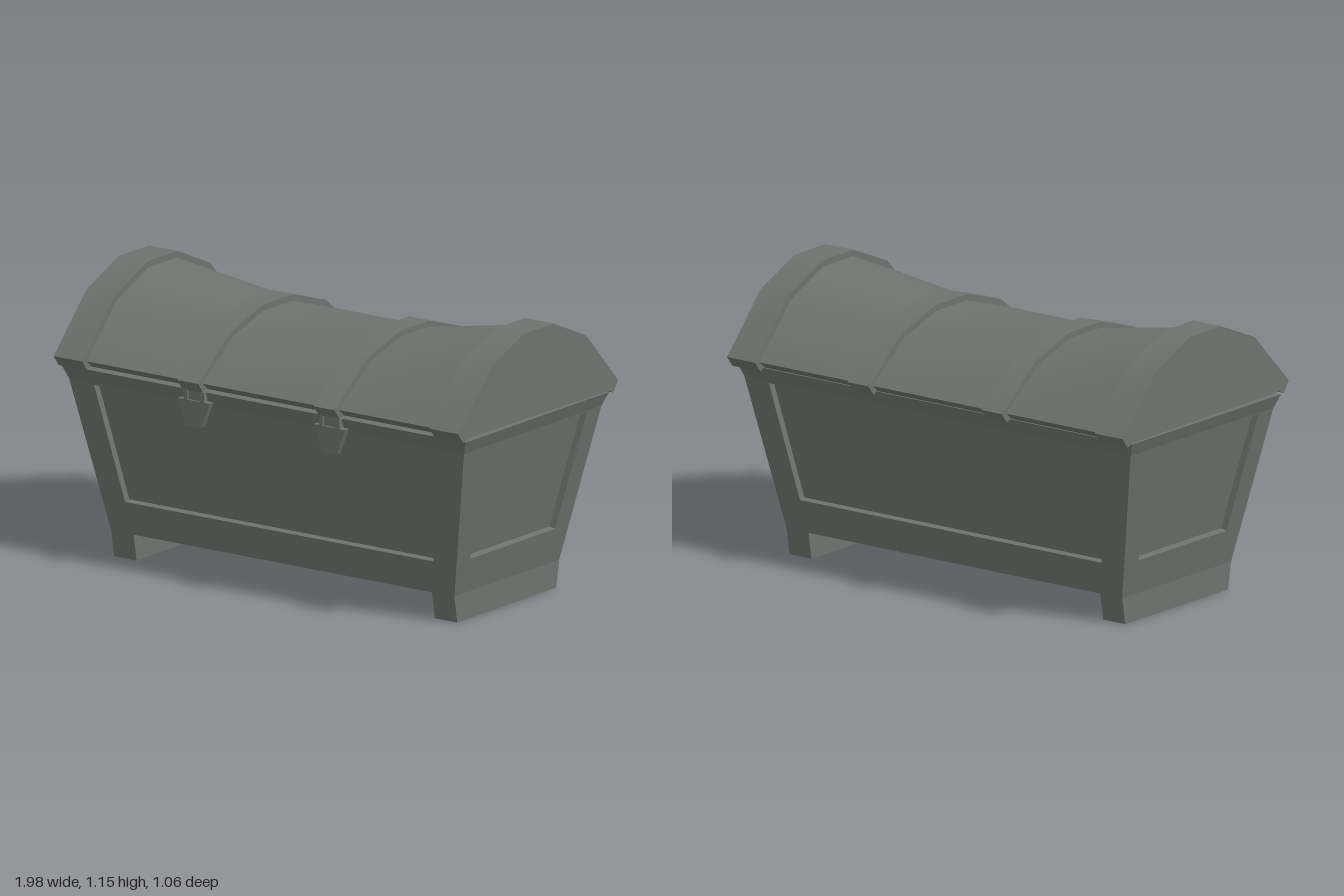
import * as THREE from 'three';
import { mergeGeometries, toCreasedNormals } from 'three/addons/utils/BufferGeometryUtils.js';

// Piecewise linear lookup in [y, value] pairs
function lookup(table, y) {
  let i = 1;
  while (i < table.length - 1 && y > table[i][0]) i++;
  const [y0, v0] = table[i - 1], [y1, v1] = table[i];
  return v0 + (v1 - v0) * (y - y0) / (y1 - y0);
}

// Half width and half depth of the box at height y
const halfX = y => lookup([[0, 0.84], [0.11, 0.84], [0.735, 0.967], [0.79, 0.99]], y);
const halfZ = y => lookup([[0, 0.328], [0.735, 0.455], [0.79, 0.475]], y);
const FOOT = 0.11, RIM = 0.735, TOP = 0.79, INSET = 0.028;

const vectors = points => points.map(([x, y]) => new THREE.Vector2(x, y));

function quads(list) {
  const p = [];
  for (const [a, b, c, d] of list) p.push(...a, ...b, ...c, ...a, ...c, ...d);
  const g = new THREE.BufferGeometry();
  g.setAttribute('position', new THREE.Float32BufferAttribute(p, 3));
  return g;
}

// Flat outline (with optional hole) leaned onto the depth rule
function leaned(outline, hole, place) {
  const shape = new THREE.Shape(vectors(outline));
  if (hole) shape.holes.push(new THREE.Path(vectors(hole)));
  const g = new THREE.ShapeGeometry(shape).toNonIndexed();
  g.deleteAttribute('uv');
  g.deleteAttribute('normal');
  const pos = g.attributes.position;
  for (let i = 0; i < pos.count; i++) pos.setXYZ(i, ...place(pos.getX(i), pos.getY(i)));
  return g;
}

// One wall: frame, recessed panel, ledges around it and flared rim
function wall(outline, panel, half, depth, angle) {
  const slope = (depth(0.7) - depth(0.2)) / 0.5;
  const outer = (u, y) => [u, y, depth(y)];
  const inner = (u, y) => [u, y + slope * INSET, depth(y) - INSET];
  const ledges = panel.map((a, i) => {
    const b = panel[(i + 1) % panel.length];
    return [outer(...a), outer(...b), inner(...b), inner(...a)];
  });
  const rim = [[-half(RIM), RIM], [half(RIM), RIM], [half(TOP), TOP], [-half(TOP), TOP]];
  return mergeGeometries([
    leaned(outline, panel, outer), leaned(panel, null, inner), quads(ledges), leaned(rim, null, outer),
  ]).rotateY(angle);
}

// Faces running front to back along an x, y line
function span(line) {
  return quads(line.slice(1).map((b, i) => {
    const a = line[i], za = halfZ(a[1]), zb = halfZ(b[1]);
    return [[...a, -za], [...b, -zb], [...b, zb], [...a, za]];
  }));
}

function buildBox() {
  const longOutline = [
    [-0.84, 0], [-0.73, 0], [-0.73, FOOT], [0.73, FOOT], [0.73, 0], [0.84, 0],
    [0.84, FOOT], [halfX(RIM), RIM], [-halfX(RIM), RIM], [-0.84, FOOT],
  ];
  const longPanel = [[-0.755, 0.245], [0.755, 0.245], [0.845, 0.725], [-0.845, 0.725]];
  const endOutline = [
    [-halfZ(FOOT), FOOT], [halfZ(FOOT), FOOT], [halfZ(RIM), RIM], [-halfZ(RIM), RIM],
  ];
  const endPanel = [[-0.28, 0.255], [0.28, 0.255], [0.362, 0.73], [-0.362, 0.73]];
  const parts = [];
  for (const turn of [0, Math.PI]) {
    parts.push(wall(longOutline, longPanel, halfX, halfZ, turn));
    parts.push(wall(endOutline, endPanel, halfZ, halfX, turn + Math.PI / 2));
  }
  // Feet, underside and closed top
  parts.push(span([
    [-0.84, FOOT], [-0.84, 0], [-0.73, 0], [-0.73, FOOT], [0.73, FOOT], [0.73, 0], [0.84, 0], [0.84, FOOT],
  ]));
  parts.push(span([[0.99, TOP], [-0.99, TOP]]));
  const g = mergeGeometries(parts);
  g.computeVertexNormals();
  return g;
}

// Closed arch section of the lid; z across, y up
function archShape(halfDepth, base, rise, lip) {
  const k = halfDepth / 0.53;
  const side = [[0.47, 0.8], [0.497, lip], [0.53, base], [0.315, base + rise * 0.71], [0.1, base + rise]];
  const right = side.map(([z, y]) => [z * k, y]);
  return new THREE.Shape(vectors([...right, ...right.map(([z, y]) => [-z, y]).reverse()]));
}

function band(x0, x1, rise) {
  const g = new THREE.ExtrudeGeometry(archShape(0.53, 0.83, rise, 0.787), { depth: x1 - x0, bevelEnabled: false });
  return toCreasedNormals(g.rotateY(Math.PI / 2).translate(x0, 0, 0), 0.55);
}

// Lid skin: level in the middle, rising towards both ends
function skin() {
  const g = new THREE.ExtrudeGeometry(archShape(0.5, 0.825, 0.215, 0.797), { depth: 3, steps: 3, bevelEnabled: false });
  g.rotateY(Math.PI / 2);
  const pos = g.attributes.position, stops = [-0.86, -0.38, 0.38, 0.86];
  for (let i = 0; i < pos.count; i++) {
    const ring = Math.round(pos.getX(i)), y = pos.getY(i);
    pos.setX(i, stops[ring]);
    if ((ring === 0 || ring === 3) && y > 0.826) pos.setY(i, 0.825 + (y - 0.825) * 1.4);
  }
  return toCreasedNormals(g, 0.55);
}

// Hanging clasp plate with a notched neck
function claspPlate() {
  const half = [[0.037, 0.645], [0.078, 0.751], [0.05, 0.751], [0.05, 0.79], [0.032, 0.79], [0.032, 0.751]];
  const shape = new THREE.Shape(vectors([...half, ...half.map(([x, y]) => [-x, y]).reverse()]));
  return new THREE.ExtrudeGeometry(shape, { depth: 0.026, bevelEnabled: false });
}

export function createModel() {
  const grey = new THREE.MeshStandardMaterial({ color: 0x6f726e });
  grey.name = 'dull grey';
  const model = new THREE.Group();
  model.name = 'chest';
  const add = (parent, geometry, name) => {
    const mesh = new THREE.Mesh(geometry, grey);
    mesh.name = name;
    parent.add(mesh);
    return mesh;
  };

  add(model, buildBox(), 'box').position.z = 0.006;

  // Lid, tipped very slightly up at the front
  const lid = new THREE.Group();
  lid.name = 'lid';
  lid.rotation.x = -0.01;
  lid.position.z = 0.009;
  model.add(lid);
  add(lid, skin(), 'lidSkin');
  add(lid, band(-0.99, -0.85, 0.32), 'rightEndBand');
  add(lid, band(-0.385, -0.283, 0.235), 'rightMiddleBand');
  add(lid, band(0.283, 0.385, 0.235), 'leftMiddleBand');
  add(lid, band(0.85, 0.99, 0.32), 'leftEndBand');

  // Clasps with their hinge tongues
  for (const [x, side] of [[-0.332, 'right'], [0.332, 'left']]) {
    add(model, claspPlate(), side + 'Clasp').position.set(x, 0, 0.469);
    add(model, new THREE.BoxGeometry(0.066, 0.06, 0.01), side + 'ClaspTongue').position.set(x, 0.77, 0.481);
  }
  return model;
}
